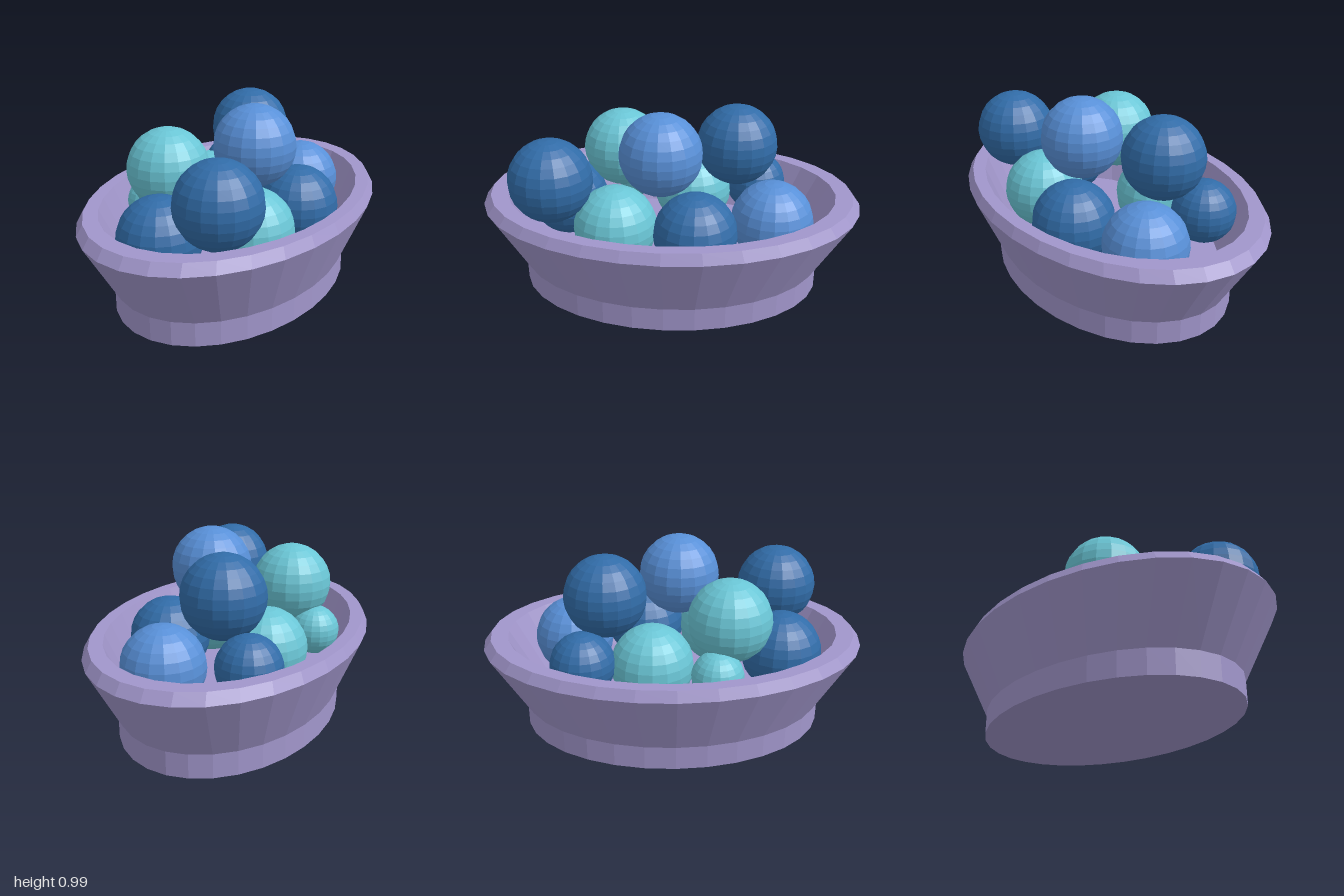
import * as THREE from 'three';

const COLORS = { bowl: 0xa196cb, teal: 0x6ac6d6, navy: 0x316ca8, blue: 0x5890d8 };

function makeMaterial(color) {
  return new THREE.MeshStandardMaterial({ color, flatShading: true });
}

// Oval bowl: one closed profile turned round, then narrowed in x
function makeBowl() {
  const profile = [
    [0, 0], [0.8, 0], [0.8, 0.125],   // foot
    [1, 0.46], [0.96, 0.512],         // flared wall and bevelled lip
    [0.87, 0.512], [0.71, 0.21], [0, 0.21], // inner wall and floor
  ].map(([r, y]) => new THREE.Vector2(r, y));
  const geometry = new THREE.LatheGeometry(profile, 32);
  geometry.scale(0.69, 1, 1);
  geometry.computeVertexNormals();
  const bowl = new THREE.Mesh(geometry, makeMaterial(COLORS.bowl));
  bowl.name = 'bowl';
  return bowl;
}

// Balls: colour, centre x, y, z, radius
const BIG = 0.213;
const BALLS = [
  ['blue', 0.14, 0.773, 0.04, BIG],
  ['navy', -0.095, 0.745, -0.345, BIG],
  ['navy', 0.25, 0.665, 0.585, BIG],
  ['teal', -0.23, 0.66, 0.28, BIG],
  ['navy', -0.09, 0.418, 0.57, BIG],
  ['blue', 0.14, 0.418, -0.535, BIG],
  ['navy', 0.305, 0.418, -0.145, BIG],
  ['teal', 0.25, 0.418, 0.265, BIG],
  ['teal', -0.23, 0.418, -0.11, BIG],
  ['navy', -0.275, 0.45, -0.46, 0.166],
  ['teal', -0.39, 0.43, 0.21, 0.132],
];

export function createModel() {
  const model = new THREE.Group();
  model.name = 'bowlOfBalls';
  model.add(makeBowl());

  const pile = new THREE.Group();
  pile.name = 'balls';
  const sphere = new THREE.SphereGeometry(1, 18, 14);
  const materials = {};
  for (const key of ['teal', 'navy', 'blue']) materials[key] = makeMaterial(COLORS[key]);
  BALLS.forEach(([color, x, y, z, r], i) => {
    const ball = new THREE.Mesh(sphere, materials[color]);
    ball.name = `${color}Ball${i + 1}`;
    ball.position.set(x, y, z);
    ball.scale.setScalar(r);
    pile.add(ball);
  });
  model.add(pile);
  return model;
}
